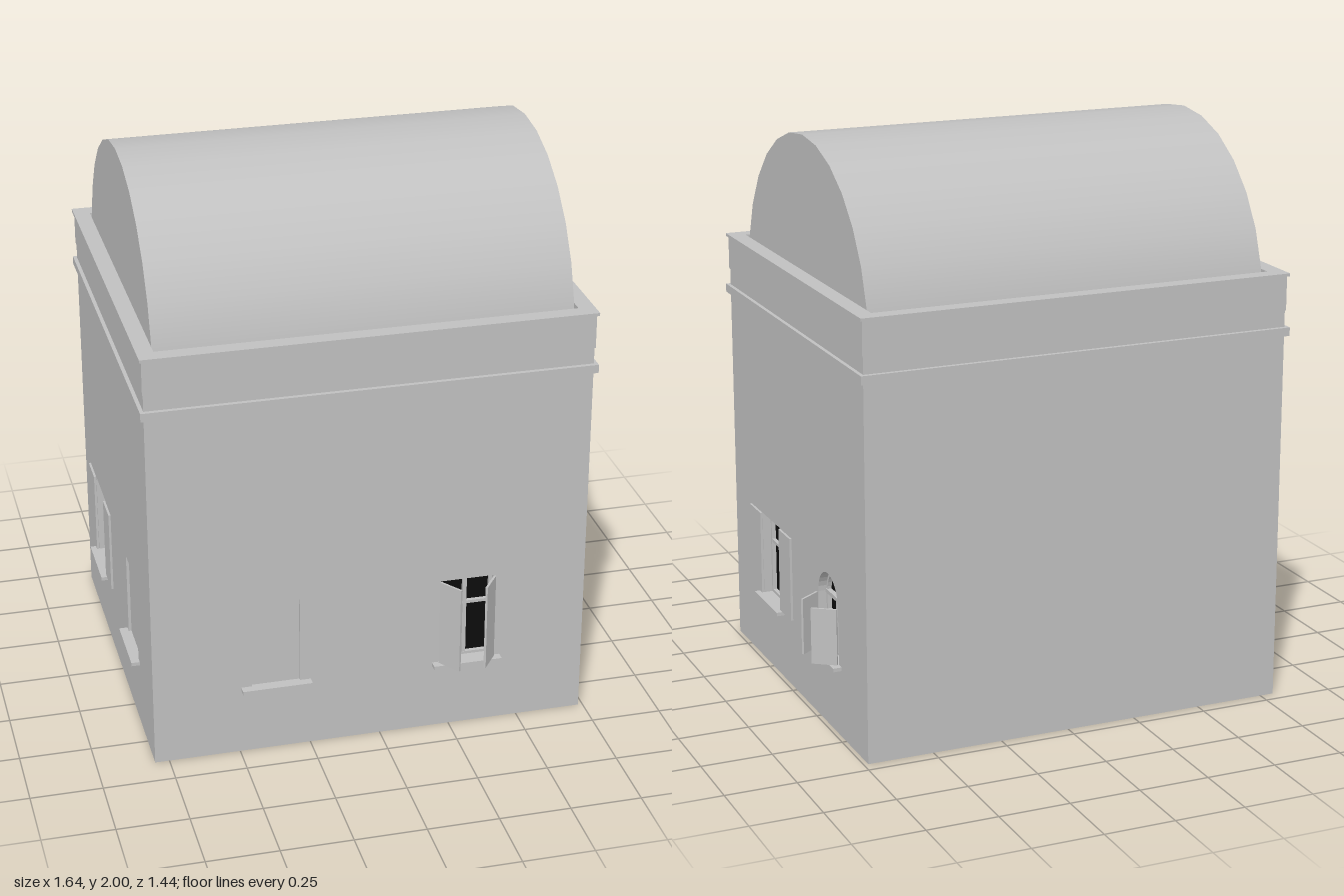
import * as THREE from 'three';

const stone = new THREE.MeshStandardMaterial({ color: 0xc0c0c0 });
stone.name = 'pale grey stone';
const dark = new THREE.MeshStandardMaterial({ color: 0x0c0c0c });
dark.name = 'black glass';

// Building centre, half sizes, wall thickness and deck height
const CX = -0.033, CZ = -0.033, HX = 0.767, HZ = 0.672, T = 0.08, DECK = 1.4;
const SILL = 0.255;

function add(parent, name, geometry, material = stone) {
  const mesh = new THREE.Mesh(geometry, material);
  mesh.name = name;
  parent.add(mesh);
  return mesh;
}

function box(parent, name, w, h, d, x, y, z) {
  const mesh = add(parent, name, new THREE.BoxGeometry(w, h, d));
  mesh.position.set(x, y, z);
  return mesh;
}

// Outline of a window, straight or round topped, shrunk by an inset
function outline(Type, { u, half, top, arch }, inset = 0) {
  const p = new Type(), r = half - inset, y0 = SILL + inset;
  p.moveTo(u - r, y0);
  p.lineTo(u + r, y0);
  if (arch) {
    p.lineTo(u + r, top);
    p.absarc(u, top, r, 0, Math.PI, false);
  } else {
    p.lineTo(u + r, top - inset);
    p.lineTo(u - r, top - inset);
  }
  p.closePath();
  return p;
}

function extrude(shape, depth, z) {
  const g = new THREE.ExtrudeGeometry(shape, { depth, bevelEnabled: false, curveSegments: 8 });
  return g.translate(0, 0, z);
}

// Window in wall space: u along the wall, y up, z outwards
function addWindow(wall, win) {
  const { u, half, top, arch, blind, angle, leaf } = win;
  const g = new THREE.Group();
  g.name = blind ? 'blindWindow' : 'window';
  wall.add(g);
  box(g, 'sill', 0.245, 0.013, 0.07, u, SILL - 0.0065, -0.005);
  if (blind) {
    add(g, 'blindPanel', extrude(outline(THREE.Shape, win), 0.03, -0.04));
    return;
  }
  // Glass, frame and glazing bars
  add(g, 'glass', new THREE.ShapeGeometry(outline(THREE.Shape, win), 8).translate(0, 0, -0.045), dark);
  const frame = outline(THREE.Shape, win);
  frame.holes.push(outline(THREE.Path, win, 0.01));
  add(g, 'frame', extrude(frame, 0.02, -0.05));
  const h = top - SILL;
  box(g, 'mullion', 0.014, h, 0.014, u, SILL + h / 2, -0.038);
  box(g, 'glazingBar', half * 2, 0.011, 0.014, u, SILL + h * 0.65, -0.038);
  if (arch) box(g, 'transom', half * 2, 0.014, 0.018, u, top, -0.036);
  // Pair of hinged shutters
  for (const side of [-1, 1]) {
    const hinge = new THREE.Group();
    hinge.name = side < 0 ? 'firstShutter' : 'secondShutter';
    hinge.position.set(u + side * half, 0, 0.005);
    hinge.rotation.y = side < 0 ? -angle : Math.PI + angle;
    box(hinge, 'shutterLeaf', leaf, h, 0.008, leaf / 2, SILL + h / 2, 0);
    g.add(hinge);
  }
}

// Wall slab with openings, its outer face on local z = 0
function addWall(parent, name, u0, u1, x, z, turn, windows) {
  const wall = new THREE.Group();
  wall.name = name;
  wall.position.set(x, 0, z);
  wall.rotation.y = turn;
  const shape = new THREE.Shape();
  shape.moveTo(u0, 0);
  shape.lineTo(u1, 0);
  shape.lineTo(u1, DECK);
  shape.lineTo(u0, DECK);
  shape.closePath();
  for (const w of windows) shape.holes.push(outline(THREE.Path, w));
  add(wall, 'masonry', extrude(shape, T, -T));
  for (const w of windows) addWindow(wall, w);
  parent.add(wall);
}

// Rectangular ring lying flat around the building
function addRing(parent, name, ox, oz, ix, iz, y, h) {
  const rect = (p, a, b) => {
    p.moveTo(-a, -b);
    p.lineTo(a, -b);
    p.lineTo(a, b);
    p.lineTo(-a, b);
    p.closePath();
    return p;
  };
  const shape = rect(new THREE.Shape(), ox, oz);
  shape.holes.push(rect(new THREE.Path(), ix, iz));
  const mesh = add(parent, name, extrude(shape, h, 0).rotateX(-Math.PI / 2));
  mesh.position.set(CX, y, CZ);
}

export function createModel() {
  const model = new THREE.Group();
  model.name = 'vaultedHouse';

  // Four walls; shutters stand ajar or lie open against the wall
  const ajar = { angle: 0.95, leaf: 0.09 }, open = { angle: Math.PI, leaf: 0.118 };
  addWall(model, 'frontWall', CX - HX, CX + HX, 0, CZ + HZ, 0, [
    { u: 0.31, half: 0.097, top: 0.575, ...ajar },
    { u: -0.37, half: 0.085, top: 0.575, blind: true },
  ]);
  addWall(model, 'backWall', -CX - HX, -CX + HX, 0, CZ - HZ, Math.PI, []);
  addWall(model, 'leftWall', -CZ - HZ + T, -CZ + HZ - T, CX + HX, 0, Math.PI / 2, [
    { u: -0.24, half: 0.099, top: 0.56, ...open },
    { u: 0.34, half: 0.097, top: 0.455, arch: true, ...ajar },
  ]);
  addWall(model, 'rightWall', CZ - HZ + T, CZ + HZ - T, CX - HX, 0, -Math.PI / 2, [
    { u: -0.36, half: 0.099, top: 0.56, ...open },
    { u: 0.265, half: 0.097, top: 0.56, blind: true },
  ]);

  // Floor and roof deck
  const w = (HX - T) * 2, d = (HZ - T) * 2;
  box(model, 'floor', w, 0.02, d, CX, 0.01, CZ);
  box(model, 'roofDeck', w, 0.02, d, CX, DECK - 0.01, CZ);

  // Cornice, parapet and coping
  addRing(model, 'cornice', HX + 0.013, HZ + 0.015, HX - 0.02, HZ - 0.02, 1.312, 0.03);
  addRing(model, 'parapet', HX + 0.003, HZ + 0.003, 0.72, 0.627, DECK, 0.12);
  addRing(model, 'coping', HX + 0.01, HZ + 0.011, 0.72, 0.627, 1.52, 0.01);

  // Barrel vault along x
  const vault = new THREE.CylinderGeometry(0.6, 0.6, 1.438, 14, 1, false, 0, Math.PI);
  add(model, 'barrelVault', vault.rotateZ(Math.PI / 2)).position.set(CX, DECK, CZ);

  return model;
}
